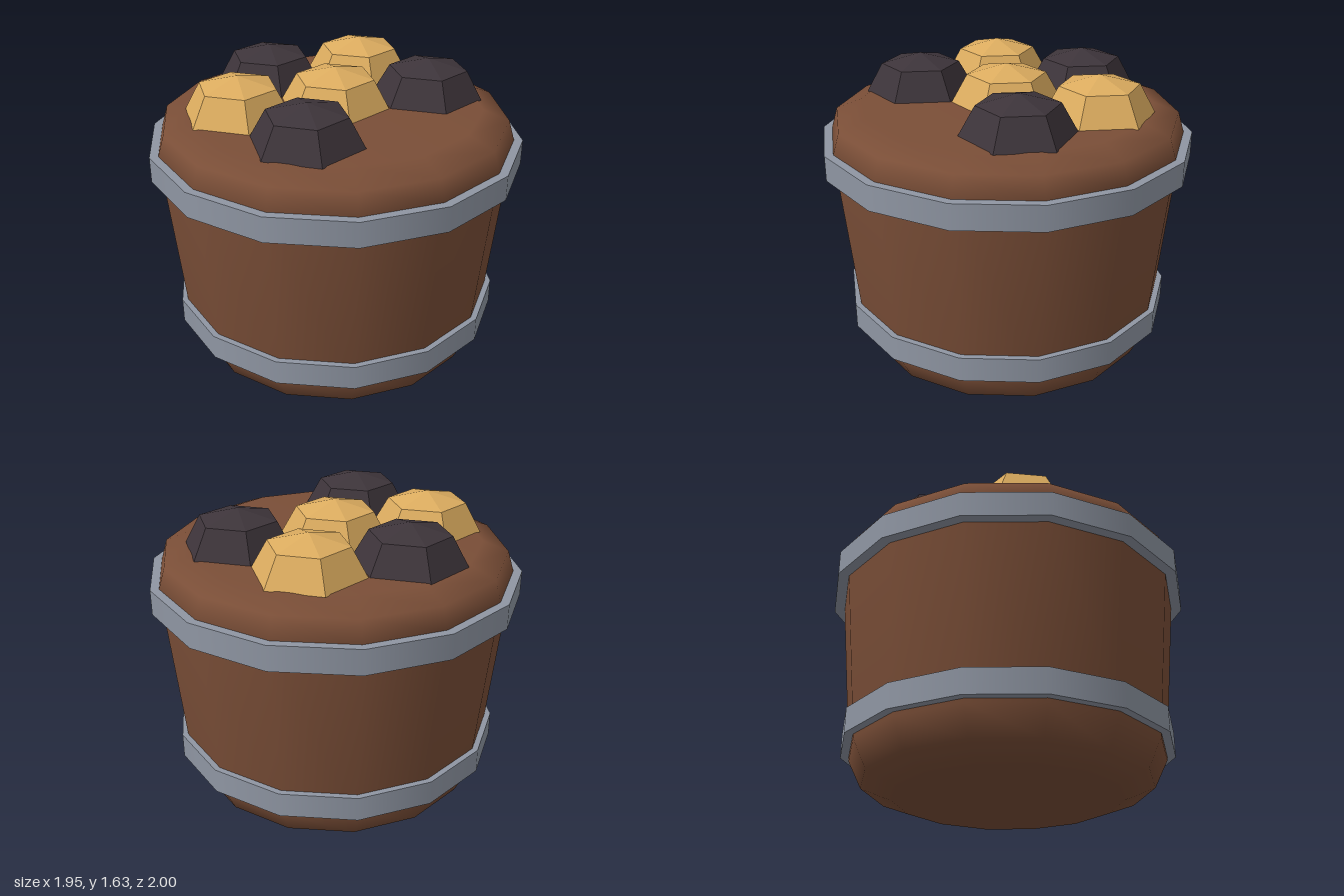
import * as THREE from 'three';
import { mergeGeometries } from 'three/addons/utils/BufferGeometryUtils.js';

const SIDES = 14;

function material(name, color) {
  const m = new THREE.MeshStandardMaterial({ color });
  m.name = name;
  return m;
}

function lathe(points, sides) {
  return new THREE.LatheGeometry(points.map(([r, y]) => new THREE.Vector2(r, y)), sides);
}

// Hoop: smooth outer wall with flat rims above and below
function hoopGeometry(outer, inner, y0, y1) {
  const wall = new THREE.CylinderGeometry(outer, outer, y1 - y0, SIDES, 1, true);
  wall.translate(0, (y0 + y1) / 2, 0);
  const rim = (up, y) => new THREE.RingGeometry(inner, outer, SIDES, 1, Math.PI / 2)
    .rotateX(up ? -Math.PI / 2 : Math.PI / 2).translate(0, y, 0);
  return mergeGeometries([wall, rim(true, y1), rim(false, y0)]);
}

// Faceted six-sided lump, standing on the lid
function lumpGeometry() {
  const g = lathe([[0.297, 0], [0.21, 0.155], [0, 0.21]], 6).toNonIndexed();
  g.computeVertexNormals();
  return g;
}

export function createModel() {
  const model = new THREE.Group();
  model.name = 'tub';
  const wood = material('brown wood', 0x7a4e37);
  const steel = material('grey steel', 0x8f96a3);
  const gold = material('gold', 0xdcac5f);
  const coal = material('dark coal', 0x3d343a);

  const add = (name, geometry, mat) => {
    const mesh = new THREE.Mesh(geometry, mat);
    mesh.name = name;
    model.add(mesh);
    return mesh;
  };

  // Tapered body with bevelled foot and shoulder
  add('body', lathe([
    [0, 0], [0.615, 0], [0.78, 0.065], [0.853, 0.215],
    [0.955, 1.255], [0.92, 1.37], [0.78, 1.425], [0, 1.425],
  ], SIDES), wood);

  // Hoops
  add('lowerHoop', hoopGeometry(0.9, 0.84, 0.235, 0.37), steel);
  add('upperHoop', hoopGeometry(1, 0.93, 1.125, 1.26), steel);

  // Lumps in a honeycomb layout on top
  const lump = lumpGeometry();
  const places = {
    goldLump: [gold, [[0, 0], [-0.258, -0.447], [-0.258, 0.447]]],
    coalLump: [coal, [[-0.515, 0], [0.258, -0.447], [0.258, 0.447]]],
  };
  for (const [name, [mat, spots]] of Object.entries(places)) {
    spots.forEach(([x, z], i) => add(name + (i + 1), lump, mat).position.set(x, 1.42, z));
  }
  return model;
}
